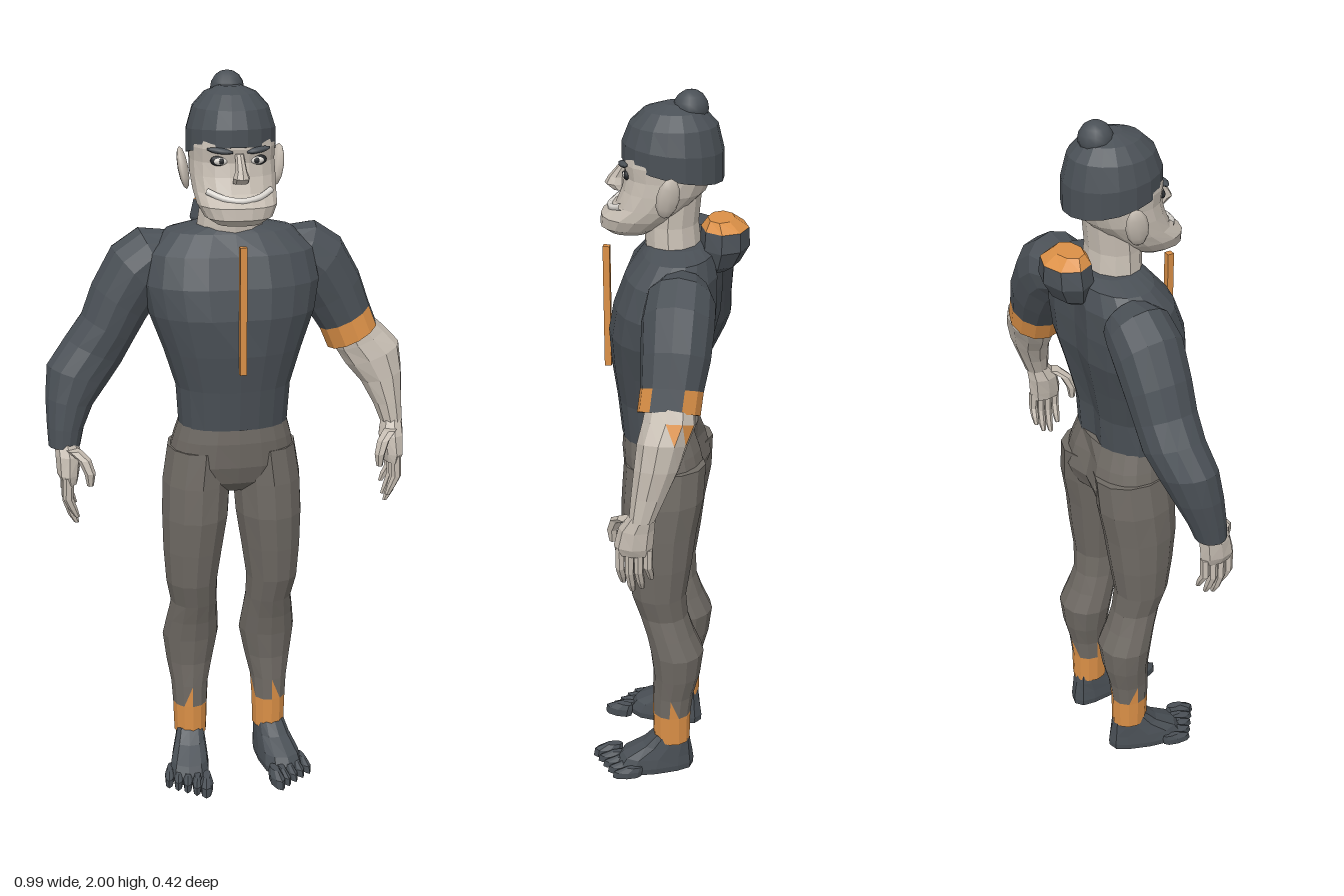
import * as THREE from 'three';

const mat = (name, color) => {
  const m = new THREE.MeshStandardMaterial({ color });
  m.name = name;
  return m;
};
const DARK = mat('charcoal cloth', 0x4a5056);
const GREY = mat('grey trousers', 0x6f6a64);
const SKIN = mat('pale skin', 0xc6bdb2);
const ORANGE = mat('orange trim', 0xdb9047);
const WHITE = mat('off white', 0xe2ded8);
const BLACK = mat('eye black', 0x25282b);

const bow = (v, p) => Math.sign(v) * Math.pow(Math.abs(v), p);

// Faceted loft through rings listed from top to bottom, closed at both ends.
// Ring: [x, y, z, radiusX, radiusZ, roll about z, slope along z]
// paint(ring, segment, half) picks a material; side = -1 mirrors in x.
function loft(name, rings, mats, { n = 12, side = 1, power = 1, paint = () => 0, shape } = {}) {
  const list = [].concat(mats);
  const pts = rings.map(([x, y, z, rx, rz, roll = 0, slope = 0]) =>
    Array.from({ length: n }, (_, j) => {
      const t = (j / n) * Math.PI * 2;
      const u = rx * bow(Math.cos(t), power), v = rz * bow(Math.sin(t), power);
      const p = new THREE.Vector3(x + u * Math.cos(roll), y + u * Math.sin(roll) + v * slope, z + v);
      if (shape) shape(p);
      p.x *= side;
      return p;
    }));
  const out = list.map(() => []);
  const tri = (m, a, b, c) => {
    for (const p of side > 0 ? [a, b, c] : [a, c, b]) out[m].push(p.x, p.y, p.z);
  };
  const middle = (ring) => ring.reduce((s, p) => s.add(p), new THREE.Vector3()).divideScalar(n);
  const last = rings.length - 1, top = middle(pts[0]), end = middle(pts[last]);
  for (let j = 0; j < n; j++) {
    const k = (j + 1) % n;
    tri(paint(-1, j, 0), top, pts[0][k], pts[0][j]);
    tri(paint(last, j, 0), end, pts[last][j], pts[last][k]);
    for (let i = 0; i < last; i++) {
      tri(paint(i, j, 0), pts[i][j], pts[i][k], pts[i + 1][j]);
      tri(paint(i, j, 1), pts[i][k], pts[i + 1][k], pts[i + 1][j]);
    }
  }
  const g = new THREE.BufferGeometry();
  g.setAttribute('position', new THREE.Float32BufferAttribute(out.flat(), 3));
  let start = 0;
  out.forEach((o, m) => {
    if (o.length) g.addGroup(start, o.length / 3, m);
    start += o.length / 3;
  });
  g.computeVertexNormals();
  const mesh = new THREE.Mesh(g, list.length > 1 ? list : list[0]);
  mesh.name = name;
  return mesh;
}

function ball(name, material, [x, y, z], [a, b, c], w = 12, h = 8) {
  const g = new THREE.SphereGeometry(1, w, h).scale(a, b, c);
  const m = new THREE.Mesh(g, material);
  m.name = name;
  m.position.set(x, y, z);
  return m;
}

function named(name, ...parts) {
  const g = new THREE.Group();
  g.name = name;
  if (parts.length) g.add(...parts);
  return g;
}

function makeHead() {
  const head = named('head');
  head.add(
    loft('neck', [[0, 1.75, -.02, .082, .07], [0, 1.66, -.012, .083, .07], [0, 1.61, -.015, .09, .073],
      [0, 1.56, -.02, .1, .075]], SKIN),
    loft('face', [[0, 1.86, -.01, .105, .115], [0, 1.82, -.006, .112, .118], [0, 1.785, -.006, .111, .112],
      [0, 1.75, .006, .112, .108], [0, 1.71, .035, .109, .096], [0, 1.68, .07, .104, .1],
      [0, 1.65, .092, .088, .08], [0, 1.632, .095, .06, .055]], SKIN, { n: 18, power: .85 }),
    loft('nose', [[0, 1.81, .106, .011, .012], [0, 1.77, .13, .015, .022], [0, 1.752, .134, .022, .028],
      [0, 1.737, .122, .02, .018]], SKIN, { n: 8 }),
    loft('cap', [[0, 1.966, -.02, .03, .03], [0, 1.95, -.018, .068, .078], [0, 1.915, -.016, .1, .113],
      [0, 1.86, -.015, .117, .13, 0, .08], [0, 1.8, -.015, .118, .131, 0, .2]], DARK, { n: 18 }),
    ball('capBobble', DARK, [0, 1.955, -.06], [.045, .045, .045]));
  // Smiling mouth that follows the jaw
  const smile = new THREE.CatmullRomCurve3([-.083, -.045, 0, .045, .083].map((x) =>
    new THREE.Vector3(x, 1.695 + 3 * x * x, .147 - 6 * x * x)));
  const mouth = new THREE.Mesh(new THREE.TubeGeometry(smile, 12, .009, 6), WHITE);
  mouth.name = 'mouth';
  head.add(mouth);
  for (const s of [1, -1]) {
    const ear = ball('ear', SKIN, [s * .125, 1.757, -.018], [.014, .056, .03], 8, 6);
    ear.rotation.set(-.15, s * .3, -s * .15);
    const brow = ball('brow', DARK, [s * .05, 1.818, .105], [.035, .008, .012], 8, 5);
    brow.rotation.set(0, s * .3, s * .12);
    head.add(ear, brow,
      ball('eyeRim', BLACK, [s * .047, 1.792, .094], [.027, .015, .01], 10, 6),
      ball('eyeWhite', WHITE, [s * .047, 1.791, .099], [.02, .01, .008], 10, 6),
      ball('pupil', BLACK, [s * .046, 1.791, .104], [.008, .008, .005], 8, 6));
  }
  return head;
}

function makeTorso() {
  // Spine groove and a shallow dip between the chest muscles
  const shape = (p) => {
    if (Math.abs(p.x) < .03 && p.y < 1.58) p.z += p.z < -.05 ? .018 : p.z > .08 && p.y > 1.34 ? -.006 : 0;
  };
  const sweater = loft('sweater', [[0, 1.608, -.03, .1, .075], [0, 1.592, -.035, .17, .095],
    [0, 1.54, -.02, .225, .125], [0, 1.46, -.005, .24, .14], [0, 1.38, .005, .225, .145],
    [0, 1.28, .015, .188, .13], [0, 1.18, .02, .157, .112], [0, 1.07, .018, .15, .103]],
  DARK, { n: 20, power: .9, shape });
  const hood = loft('hood', [[0, 1.672, -.14, .05, .035], [0, 1.648, -.15, .075, .062], [0, 1.6, -.15, .086, .065],
    [0, 1.555, -.14, .07, .05], [0, 1.535, -.13, .045, .03]], [DARK, ORANGE],
  { n: 8, paint: (i) => (i < 1 ? 1 : 0) });
  const zip = new THREE.Mesh(new THREE.BoxGeometry(.018, .34, .018), ORANGE);
  zip.name = 'zip';
  zip.position.set(0, 1.41, .16);
  return named('torso', sweater, hood, zip);
}

function makeHand(side) {
  const opt = { n: 6, side };
  const hand = named('hand', loft('palm', [[.457, 1.045, 0, .03, .032], [.452, 1, .018, .035, .046],
    [.455, .95, .026, .03, .05], [.452, .925, .026, .022, .046]], SKIN, { n: 8, side }),
  loft('thumb', [[.44, 1.02, .05, .02, .02], [.415, 1, .075, .018, .018], [.402, .965, .088, .015, .015],
    [.402, .93, .088, .009, .009]], SKIN, opt));
  // Four slightly curled fingers
  [[-.012, .845], [.012, .815], [.036, .805], [.06, .83]].forEach(([z, tip]) => {
    const mid = (tip + .94) / 2;
    hand.add(loft('finger', [[.457, .945, z, .015, .013], [.46, mid, z, .014, .012],
      [.448, tip + .025, z - .003, .012, .011], [.437, tip, z - .004, .007, .007]], SKIN, opt));
  });
  return hand;
}

function makeArm(side) {
  const shoulder = [[.15, 1.52, -.06, .07, .07, 1.3], [.2, 1.515, -.06, .09, .088, 1.1],
    [.25, 1.475, -.06, .096, .093, .85], [.295, 1.4, -.06, .088, .088, .6]];
  const arm = named(side > 0 ? 'leftArm' : 'rightArm', makeHand(side));
  if (side > 0) {
    // Short sleeve with a partly trimmed cuff over a bare forearm
    arm.add(
      loft('shortSleeve', [...shoulder, [.328, 1.33, -.055, .077, .08, .48], [.35, 1.275, -.05, .076, .08, .48]],
        [DARK, ORANGE], { paint: (i, j) => (i === 4 && j > 0 && j < 11 ? 1 : 0) }),
      loft('forearm', [[.35, 1.3, -.055, .06, .062, .45], [.375, 1.262, -.055, .074, .068, .42],
        [.408, 1.22, -.042, .08, .064, .38], [.432, 1.16, -.03, .06, .057, .3],
        [.447, 1.09, -.012, .041, .045, .2], [.457, 1.03, .003, .031, .034]],
      [SKIN, ORANGE], { n: 10, side, paint: (i, j, k) => (i === 1 && (j === 9 || j === 8) && k === 0 ? 1 : 0) }));
  } else {
    arm.add(loft('longSleeve', [...shoulder, [.328, 1.33, -.058, .08, .083, .5], [.367, 1.27, -.058, .085, .08, .45],
      [.412, 1.21, -.045, .088, .075, .3], [.44, 1.14, -.028, .066, .064, .2], [.455, 1.07, -.01, .05, .051, .1],
      [.46, 1.02, 0, .043, .043]], DARK, { n: 14, side }));
  }
  return arm;
}

function makeLeg(side) {
  const trouser = loft('trouserLeg', [[.088, 1, -.005, .09, .112], [.099, .9, 0, .095, .113], [.104, .8, .01, .093, .105],
    [.111, .7, .01, .084, .093], [.115, .6, .01, .073, .078], [.108, .53, -.003, .066, .07],
    [.11, .47, -.022, .074, .07], [.112, .41, -.042, .081, .077], [.115, .33, -.042, .068, .067],
    [.117, .26, -.032, .054, .059], [.117, .195, -.028, .05, .055], [.117, .1, -.028, .047, .053]],
  [GREY, ORANGE], { side, paint: (i, j, k) => (i >= 10 || (i === 9 && k === 1 && j % 3 === 2) ? 1 : 0) });
  // Foot splays outward and widens to the toes
  const foot = named('foot', loft('footBody', [[0, .12, 0, .044, .05], [0, .085, .015, .048, .07],
    [0, .05, .042, .052, .103], [0, .02, .05, .055, .115], [0, 0, .05, .052, .113]], DARK,
  { side, power: .8, shape: (p) => { p.x *= .85 + Math.max(0, p.z) * 2.6; } }));
  for (let i = 0; i < 5; i++) {
    const x = -.052 + i * .027, z = .188 - i * .013, r = i ? .014 : .019, h = i ? .034 : .042;
    foot.add(loft('toe', [[x, h, z - .02, r * .6, .025], [x, h * .6, z - .004, r, .042],
      [x, 0, z, r * .9, .042]], DARK, { n: 8, side }));
  }
  foot.position.set(side * .117, 0, -.028);
  foot.rotation.y = side * .2;
  return named(side > 0 ? 'leftLeg' : 'rightLeg', trouser, foot);
}

export function createModel() {
  const model = named('standingMan', makeHead(), makeTorso());
  // Hips, with a cleft at the back
  model.add(loft('hips', [[0, 1.085, .016, .147, .1], [0, 1.03, .008, .163, .112], [0, .96, -.003, .18, .117],
    [0, .91, -.002, .16, .1], [0, .875, 0, .09, .06]], GREY,
  { n: 20, power: .85, shape: (p) => { if (Math.abs(p.x) < .02 && p.z < 0 && p.y < 1.04) p.z += .02; } }));
  for (const side of [1, -1]) model.add(makeArm(side), makeLeg(side));
  return model;
}
